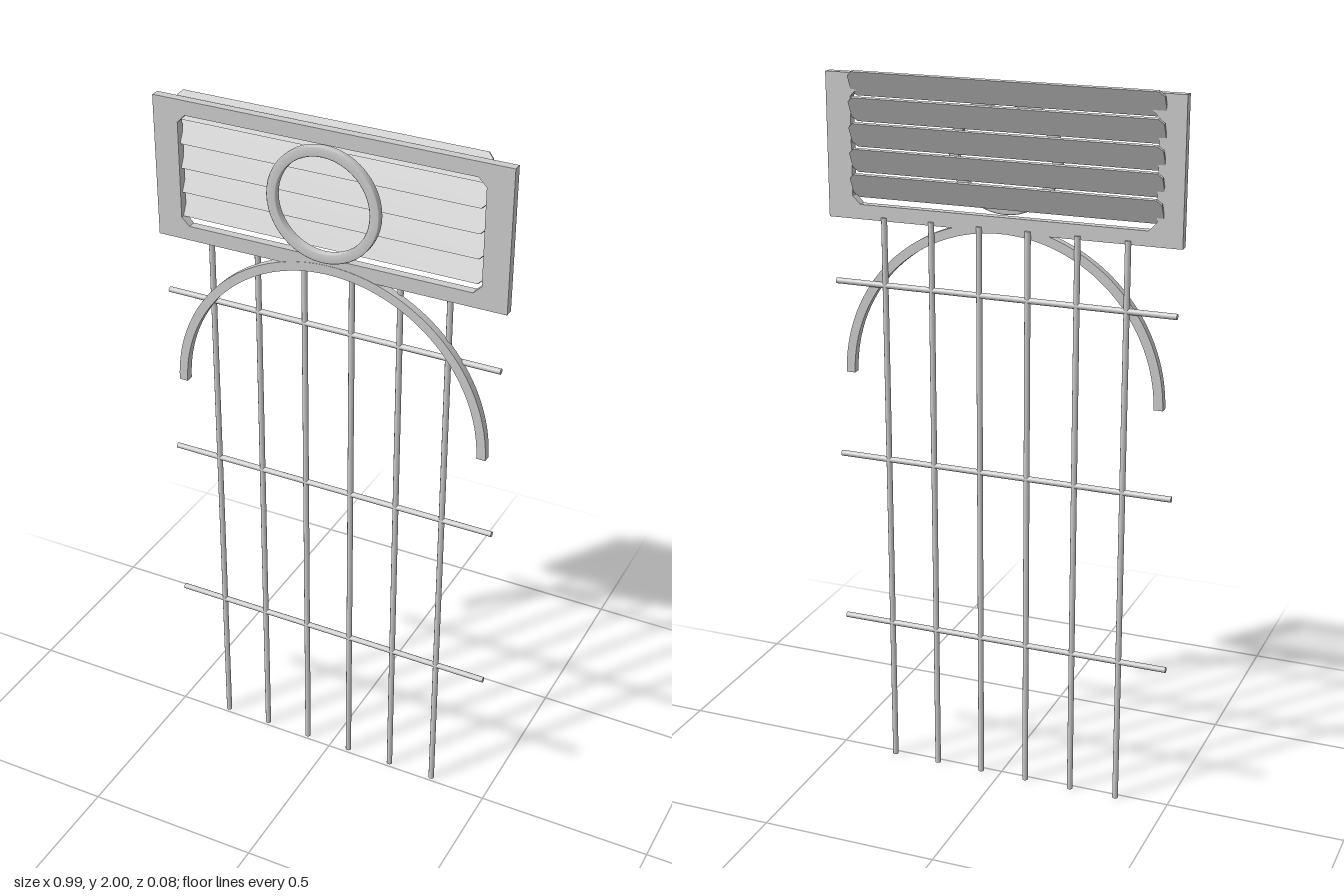
import * as THREE from 'three';

const material = new THREE.MeshStandardMaterial({ color: 0xcccccc });

function addMesh(parent, name, geometry, x = 0, y = 0, z = 0) {
  const mesh = new THREE.Mesh(geometry, material);
  mesh.name = name;
  mesh.position.set(x, y, z);
  parent.add(mesh);
  return mesh;
}

// Rectangle with cut corners, centred on the origin
function cutRectangle(Type, w, h, c) {
  const x = w / 2, y = h / 2;
  return new Type([
    [-x + c, -y], [x - c, -y], [x, -y + c], [x, y - c],
    [x - c, y], [-x + c, y], [-x, y - c], [-x, -y + c],
  ].map(([a, b]) => new THREE.Vector2(a, b)));
}

// Extrusion centred on its own depth
function slab(shape, depth, curveSegments = 12) {
  return new THREE.ExtrudeGeometry(shape, { depth, bevelEnabled: false, curveSegments })
    .translate(0, 0, -depth / 2);
}

export function createModel() {
  const model = new THREE.Group();

  // Flat frame with a cut-cornered opening
  const frame = cutRectangle(THREE.Shape, 0.986, 0.388, 0.0005);
  frame.holes.push(cutRectangle(THREE.Path, 0.846, 0.308, 0.022));
  addMesh(model, 'frame', slab(frame, 0.024), -0.002, 1.796, -0.003);

  // Overlapping louvre slats, tops leaning back
  const slats = new THREE.Group();
  slats.name = 'slats';
  const slatGeometry = slab(cutRectangle(THREE.Shape, 0.862, 0.074, 0.014), 0.007);
  for (let i = 0; i < 5; i++) {
    const slat = addMesh(slats, 'slat', slatGeometry, -0.012, 1.695 + i * 0.0675, -0.02);
    slat.rotation.x = -0.46;
  }
  model.add(slats);

  // Ring standing in front of the louvres
  const ringProfile = [
    [0.13, -0.008], [0.133, -0.011], [0.154, -0.011], [0.157, -0.008],
    [0.157, 0.008], [0.154, 0.011], [0.133, 0.011], [0.13, 0.008], [0.13, -0.008],
  ].map(([r, y]) => new THREE.Vector2(r, y));
  const ring = addMesh(model, 'ring', new THREE.LatheGeometry(ringProfile, 48), -0.002, 1.798, 0.026);
  ring.rotation.x = Math.PI / 2;

  // Half-round arch below the frame
  const arch = new THREE.Shape();
  arch.absarc(0, 0, 0.455, 0, Math.PI, false);
  arch.absarc(0, 0, 0.43, Math.PI, 0, true);
  addMesh(model, 'arch', slab(arch, 0.022, 32), 0, 1.167, -0.001);

  // Grid of thin round rods
  const grid = new THREE.Group();
  grid.name = 'rodGrid';
  const uprightGeometry = new THREE.CylinderGeometry(0.008, 0.008, 1.612, 10);
  for (let i = 0; i < 6; i++) {
    addMesh(grid, 'uprightRod', uprightGeometry, -0.351 + i * 0.1362, 0.806, -0.015);
  }
  const crossGeometry = new THREE.CylinderGeometry(0.008, 0.008, 0.962, 10).rotateZ(Math.PI / 2);
  for (const y of [0.426, 0.926, 1.426]) {
    addMesh(grid, 'crossRod', crossGeometry, -0.006, y, -0.015);
  }
  model.add(grid);

  return model;
}
